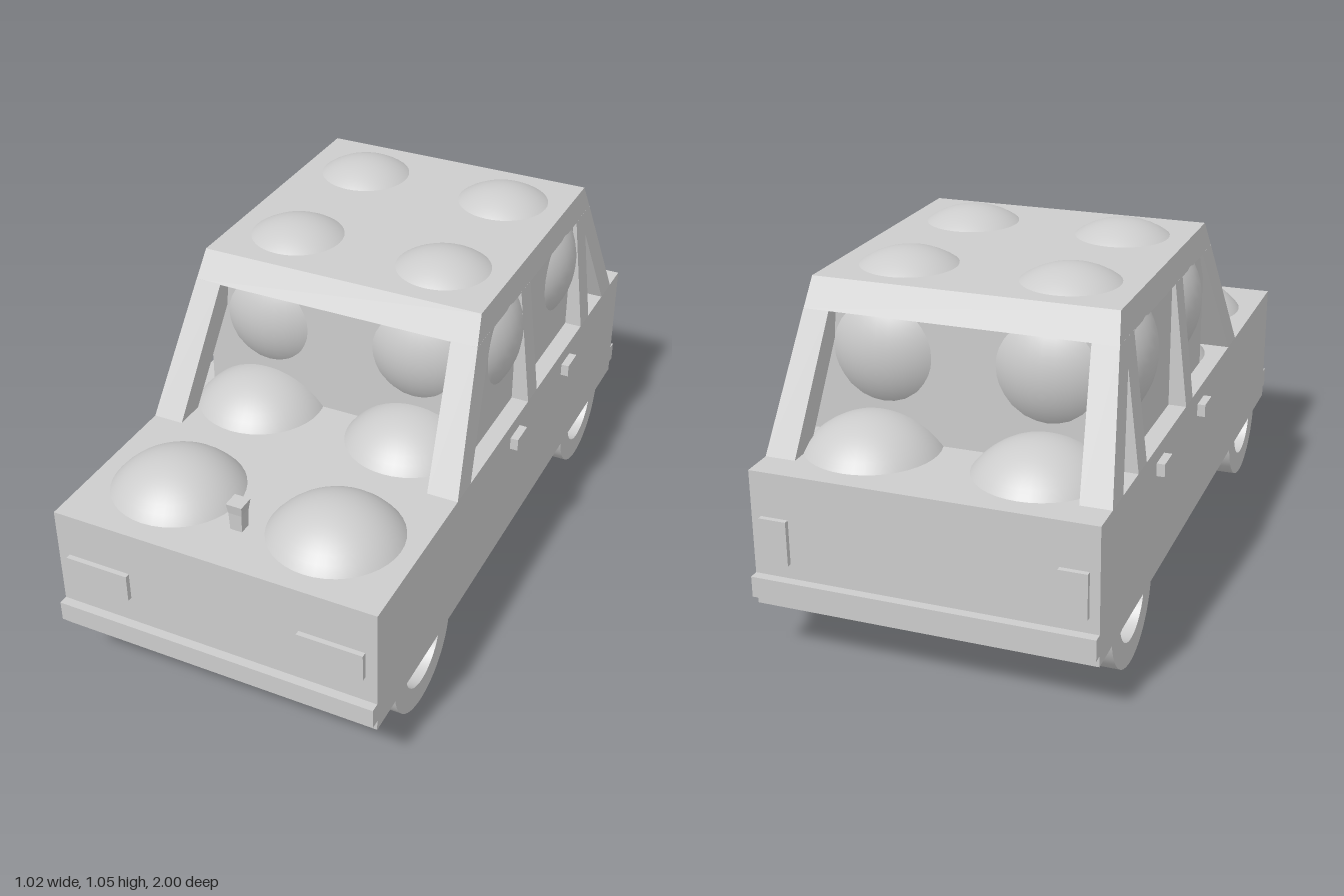
import * as THREE from 'three';
import { toCreasedNormals } from 'three/addons/utils/BufferGeometryUtils.js';

export function createModel() {
  const car = new THREE.Group();
  car.name = 'car';
  const grey = new THREE.MeshStandardMaterial({ color: 0xcccccc });
  grey.name = 'light grey';

  function add(name, geometry, x = 0, y = 0, z = 0) {
    const mesh = new THREE.Mesh(geometry, grey);
    mesh.name = name;
    mesh.position.set(x, y, z);
    car.add(mesh);
    return mesh;
  }

  // Box given by its limits
  function block(name, x0, x1, y0, y1, z0, z1) {
    return add(name, new THREE.BoxGeometry(x1 - x0, y1 - y0, z1 - z0),
      (x0 + x1) / 2, (y0 + y1) / 2, (z0 + z1) / 2);
  }

  // Leaning bar: a box whose bottom and top rectangles [x0, x1, z0, z1] differ
  function bar(name, y0, bottom, y1, top) {
    const g = new THREE.BoxGeometry(1, 1, 1).toNonIndexed();
    const p = g.attributes.position;
    for (let i = 0; i < p.count; i++) {
      const up = p.getY(i) > 0;
      const r = up ? top : bottom;
      p.setXYZ(i, p.getX(i) > 0 ? r[1] : r[0], up ? y1 : y0, p.getZ(i) > 0 ? r[3] : r[2]);
    }
    g.computeVertexNormals();
    return add(name, g);
  }

  // Same bar on the other side
  const flip = ([x0, x1, z0, z1]) => [-x1, -x0, z0, z1];
  function barPair(name, y0, bottom, y1, top) {
    bar(name + 'Left', y0, bottom, y1, top);
    bar(name + 'Right', y0, flip(bottom), y1, flip(top));
  }

  // Lower body and bumpers
  block('body', -0.488, 0.488, 0.163, 0.56, -0.973, 0.973);
  block('frontBumper', -0.488, 0.488, 0.195, 0.256, 0.96, 1);
  block('rearBumper', -0.488, 0.488, 0.195, 0.256, -1, -0.96);

  // Cabin core, roof and the pillars around the window recesses
  block('cabinCore', -0.435, 0.435, 0.55, 0.95, -0.66, 0.2);
  bar('roof', 0.928, [-0.445, 0.445, -0.702, 0.247], 1.01, [-0.435, 0.435, -0.662, 0.2]);
  barPair('windscreenPillar', 0.56, [0.396, 0.488, 0.365, 0.458], 0.93, [0.365, 0.445, 0.145, 0.246]);
  barPair('middlePillar', 0.56, [0.42, 0.488, -0.165, -0.09], 0.93, [0.42, 0.445, -0.165, -0.09]);
  barPair('rearDoorPillar', 0.56, [0.42, 0.488, -0.652, -0.575], 0.93, [0.42, 0.445, -0.652, -0.575]);
  barPair('rearPillar', 0.56, [0.4, 0.488, -0.88, -0.79], 0.93, [0.37, 0.445, -0.701, -0.617]);

  // Round cargo showing through the cabin and the body top
  const ball = new THREE.SphereGeometry(0.24, 40, 28);
  for (const s of [-1, 1]) {
    for (const z of [0, -0.468]) add('upperBall', ball, s * 0.236, 0.815, z);
    for (const z of [0.72, 0.24, -0.24, -0.72]) add('lowerBall', ball, s * 0.245, 0.415, z);
  }

  // Lamps and door handles
  for (const s of [-1, 1]) {
    add('headlight', new THREE.BoxGeometry(0.193, 0.084, 0.03), s * 0.357, 0.381, 0.973);
    add('tailLight', new THREE.BoxGeometry(0.08, 0.13, 0.03), s * 0.42, 0.365, -0.973);
    for (const z of [0.012, -0.437]) {
      add('doorHandle', new THREE.BoxGeometry(0.05, 0.038, 0.076), s * 0.487, 0.495, z);
    }
  }

  // Hood ornament
  bar('ornamentStem', 0.558, [-0.018, 0.018, 0.792, 0.828], 0.62, [-0.02, 0.02, 0.79, 0.83]);
  bar('ornamentCap', 0.615, [-0.02, 0.02, 0.79, 0.83], 0.646, [-0.024, 0.024, 0.785, 0.835]);

  // Wheels with a recessed hub on the outer side
  const profile = [[0, -0.06], [0.187, -0.06], [0.187, 0.06], [0.115, 0.06], [0.115, 0.025], [0, 0.025]]
    .map(([r, h]) => new THREE.Vector2(r, h));
  const wheel = toCreasedNormals(new THREE.LatheGeometry(profile, 48), 0.6);
  for (const s of [-1, 1]) {
    for (const z of [0.663, -0.663]) {
      add('wheel', wheel, s * 0.422, 0.187, z).rotation.z = -s * Math.PI / 2;
    }
  }

  return car;
}
